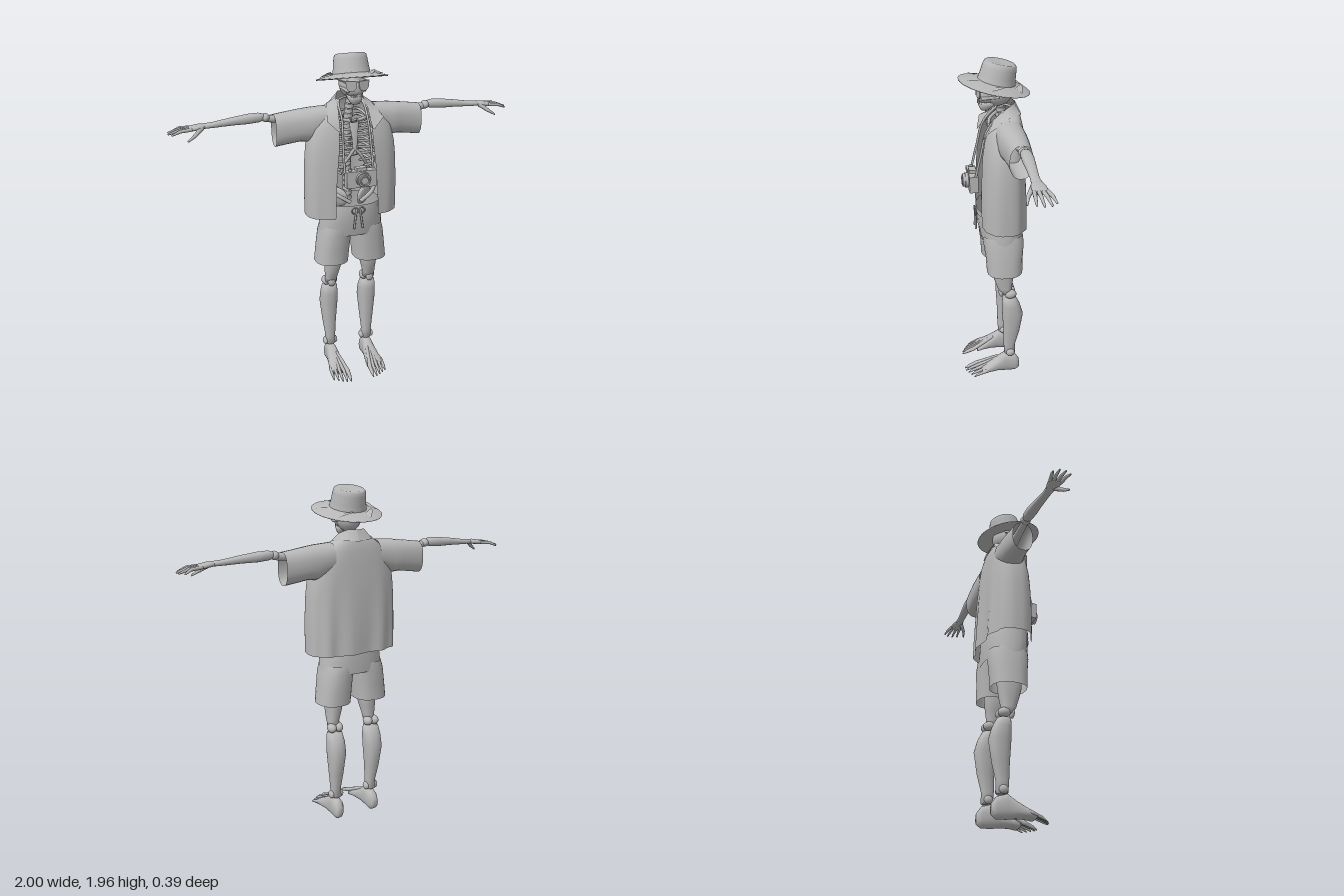
import * as THREE from 'three';

const grey = new THREE.MeshStandardMaterial({ color: 0xb8b8b8, side: THREE.DoubleSide });
grey.name = 'plain grey';
const V = (x, y, z) => new THREE.Vector3(x, y, z);

function add(parent, name, geometry, x = 0, y = 0, z = 0) {
  const mesh = new THREE.Mesh(geometry, grey);
  mesh.name = name;
  mesh.position.set(x, y, z);
  parent.add(mesh);
  return mesh;
}

// Skin over equal rows of points; closed joins each row into a ring
function skin(rows, closed) {
  const n = rows[0].length, index = [];
  for (let i = 0; i < rows.length - 1; i++) {
    for (let j = 0; j < (closed ? n : n - 1); j++) {
      const k = (j + 1) % n, a = i * n + j, b = i * n + k, c = a + n, d = b + n;
      index.push(a, b, d, a, d, c);
    }
  }
  const g = new THREE.BufferGeometry().setFromPoints(rows.flat());
  g.setIndex(index);
  g.computeVertexNormals();
  return g;
}

// Rounded sections [along, u0, u1, v0, v1] stacked on an axis: y uses x,z; x uses y,z; z uses x,y
function loft(axis, sections, capped = true, e = 0.85, n = 24) {
  const list = sections.slice();
  if (capped) {
    const flat = ([a, p, q, r, s]) => [a, (p + q) / 2, (p + q) / 2, (r + s) / 2, (r + s) / 2];
    list.unshift(flat(list[0]));
    list.push(flat(list[list.length - 1]));
  }
  const pw = v => Math.sign(v) * Math.abs(v) ** e;
  return skin(list.map(([a, u0, u1, v0, v1]) => Array.from({ length: n }, (_, j) => {
    const t = j / n * Math.PI * 2, s = pw(Math.sin(t)), c = pw(Math.cos(t));
    const mix = (lo, hi, k) => (lo + hi) / 2 + (hi - lo) / 2 * k;
    if (axis === 'y') return V(mix(u0, u1, s), a, mix(v0, v1, c));
    if (axis === 'x') return V(a, mix(u0, u1, c), mix(v0, v1, s));
    return V(mix(u0, u1, c), mix(v0, v1, s), a);
  })), true);
}

function ball(parent, name, x, y, z, rx, ry = rx, rz = rx) {
  const m = add(parent, name, new THREE.SphereGeometry(1, 20, 14), x, y, z);
  m.scale.set(rx, ry, rz);
  return m;
}

// Tapered bone with rounded ends
function bone(parent, name, a, b, ra, rb = ra) {
  const p = V(...a), q = V(...b), d = q.clone().sub(p);
  const m = add(parent, name, new THREE.CylinderGeometry(rb, ra, d.length(), 10));
  m.position.copy(p).add(q).multiplyScalar(0.5);
  m.quaternion.setFromUnitVectors(V(0, 1, 0), d.normalize());
  ball(parent, name + 'Start', ...a, ra);
  ball(parent, name + 'End', ...b, rb);
}

const tube = (pts, r) => new THREE.TubeGeometry(new THREE.CatmullRomCurve3(pts.map(p => V(...p))), 24, r, 7);

function buildHat(root) {
  const hat = new THREE.Group();
  hat.name = 'hat';
  hat.position.set(0, 1.832, 0);
  hat.rotation.x = -0.21;
  root.add(hat);
  const lathe = pts => new THREE.LatheGeometry(pts.map(p => new THREE.Vector2(...p)), 40);
  add(hat, 'brim', lathe([[0.08, 0], [0.14, -0.004], [0.196, -0.014], [0.198, -0.009], [0.14, 0.006], [0.09, 0.016]]));
  add(hat, 'crown', lathe([[0.102, 0.005], [0.1, 0.03], [0.093, 0.09], [0.088, 0.112], [0.078, 0.12], [0.045, 0.118], [0, 0.115]]), 0, 0, -0.008);
  add(hat, 'hatBand', new THREE.CylinderGeometry(0.1, 0.104, 0.025, 40, 1, true), 0, 0.026, -0.008);
  // Lifted scraps of torn straw on the brim
  for (let i = 0; i < 6; i++) {
    const a = i * 1.05 + 0.4, p = (r, t, y) => V(r * Math.sin(t), y, r * Math.cos(t));
    add(hat, 'brimTear', skin([[p(0.125, a, 0.012), p(0.18, a - 0.1, 0)], [p(0.135, a + 0.42, 0.026), p(0.15, a + 0.3, 0.022)]], false));
  }
}

function buildHead(root) {
  ball(root, 'skull', 0, 1.79, -0.015, 0.067, 0.08, 0.087);
  add(root, 'face', loft('y', [[1.74, -0.042, 0.042, 0, 0.088], [1.77, -0.055, 0.055, -0.02, 0.09], [1.82, -0.06, 0.06, -0.03, 0.088]]));
  add(root, 'jaw', loft('y', [[1.69, -0.024, 0.024, 0.03, 0.075], [1.71, -0.036, 0.036, 0.01, 0.086], [1.737, -0.044, 0.044, -0.02, 0.092]]));
  for (let i = -3; i <= 3; i++) add(root, 'tooth', new THREE.BoxGeometry(0.008, 0.018, 0.006), i * 0.0095, 1.739, 0.091 - i * i * 0.0018);
  const lens = new THREE.Shape();
  [[0.004, 1.818], [0.067, 1.822], [0.064, 1.785], [0.05, 1.766], [0.022, 1.766], [0.008, 1.782]].forEach(([x, y], i) => i ? lens.lineTo(x, y) : lens.moveTo(x, y));
  for (const s of [1, -1]) {
    const side = new THREE.Group();
    side.name = s > 0 ? 'leftGlasses' : 'rightGlasses';
    side.scale.x = s;
    root.add(side);
    const m = add(side, 'sunglassLens', new THREE.ExtrudeGeometry(lens, { depth: 0.007, bevelEnabled: false }), 0, 0, 0.096);
    m.rotation.y = 0.2;
    bone(side, 'glassesArm', [0.066, 1.813, 0.085], [0.07, 1.81, -0.04], 0.004);
    bone(side, 'cheekbone', [0.048, 1.765, 0.07], [0.063, 1.772, -0.01], 0.01, 0.007);
  }
}

function buildTorso(root) {
  // Spine
  for (let i = 0; i < 20; i++) {
    const y = 1.1 + i * 0.031, z = y > 1.55 ? -0.09 + (y - 1.55) * 0.4 : -0.09;
    add(root, 'vertebra', new THREE.CylinderGeometry(0.026, 0.026, 0.023, 12), 0, y, z);
    add(root, 'spineDisc', new THREE.CylinderGeometry(0.019, 0.019, 0.01, 10), 0, y + 0.0155, z);
    bone(root, 'spinousProcess', [0, y, z - 0.02], [0, y - 0.012, z - 0.036], 0.007, 0.004);
  }
  add(root, 'sternum', loft('y', [[1.4, -0.01, 0.01, 0.044, 0.056], [1.5, -0.018, 0.018, 0.04, 0.054], [1.58, -0.028, 0.028, 0.022, 0.038]]));
  for (const s of [1, -1]) {
    for (let i = 0; i < 9; i++) {
      const y = 1.605 - i * 0.034, w = 0.085 + 0.055 * Math.sin((i + 1) / 9 * 2.2);
      const end = Math.max(0.016, (i - 5) * 0.026), f = Math.min(0.05, 0.028 + i * 0.006);
      add(root, 'rib', tube([[s * 0.02, y + 0.02, -0.09], [s * w * 0.75, y + 0.015, -0.12], [s * w, y - 0.005, -0.05], [s * w * 0.85, y - 0.03, f - 0.02], [s * end, y - 0.026 - (i > 5 ? 0.01 : 0), f]], 0.0075));
    }
    add(root, 'costalArch', tube([[s * 0.008, 1.43, 0.05], [s * 0.045, 1.38, 0.052], [s * 0.09, 1.31, 0.03]], 0.009));
    add(root, 'collarbone', tube([[s * 0.02, 1.59, 0.03], [s * 0.1, 1.605, 0.01], [s * 0.19, 1.625, -0.06]], 0.01));
    const hip = ball(root, 'hipBone', s * 0.085, 1.13, -0.035, 0.075, 0.065, 0.022);
    hip.rotation.set(0.3, s * 0.75, s * -0.35);
    add(root, 'hipCrest', tube([[s * 0.03, 1.12, 0.06], [s * 0.1, 1.165, 0.045], [s * 0.14, 1.19, -0.03], [s * 0.06, 1.16, -0.1]], 0.012));
  }
}

function buildShirt(root) {
  // [y, half width, front z, back z, half opening]
  const rows = [[1.04, 0.27, 0.1, -0.17, 0.128], [1.15, 0.271, 0.1, -0.168, 0.124], [1.25, 0.27, 0.098, -0.165, 0.12],
    [1.36, 0.266, 0.092, -0.16, 0.11], [1.45, 0.258, 0.085, -0.156, 0.1], [1.55, 0.235, 0.07, -0.15, 0.095],
    [1.62, 0.19, 0.04, -0.145, 0.09], [1.665, 0.13, 0, -0.135, 0.08], [1.7, 0.075, -0.02, -0.12, 0.06]];
  const e = 0.75, n = 56, pw = v => Math.sign(v) * Math.abs(v) ** e;
  add(root, 'shirtBody', skin(rows.map(([y, w, f, b, gap]) => Array.from({ length: n + 1 }, (_, j) => {
    const t0 = Math.asin((gap / w) ** (1 / e)), t = t0 + (Math.PI - t0) * 2 * j / n;
    const fold = Math.max(0, 1.5 - y) * 0.022 * Math.sin(t * 11) * Math.sin(t / 2);
    return V(w * pw(Math.sin(t)), y, (f + b) / 2 + ((f - b) / 2 + fold) * pw(Math.cos(t)));
  })), false));
  for (const s of [1, -1]) {
    const side = new THREE.Group();
    side.name = s > 0 ? 'leftShirtSide' : 'rightShirtSide';
    side.scale.x = s;
    root.add(side);
    add(side, 'sleeve', loft('x', [[0.14, 1.51, 1.665, -0.138, 0.02], [0.24, 1.47, 1.66, -0.142, 0.015], [0.29, 1.475, 1.654, -0.14, 0.006],
      [0.36, 1.465, 1.645, -0.137, -0.005], [0.43, 1.455, 1.636, -0.132, -0.01]], false));
    const inner = [[0, 1.73, -0.112], [0.05, 1.733, -0.1], [0.078, 1.71, -0.05], [0.086, 1.65, 0.02], [0.094, 1.55, 0.078]];
    const outer = [[0, 1.67, -0.142], [0.085, 1.678, -0.132], [0.13, 1.675, -0.06], [0.165, 1.605, 0.062], [0.104, 1.545, 0.084]];
    add(side, 'collar', skin([outer, inner].map(r => r.map(p => V(...p))), false));
  }
}

function buildShorts(root) {
  add(root, 'shortsHips', loft('y', [[0.92, -0.192, 0.192, -0.155, 0.082], [1.0, -0.183, 0.183, -0.158, 0.098], [1.06, -0.172, 0.172, -0.156, 0.104], [1.11, -0.163, 0.163, -0.15, 0.104]], false));
  add(root, 'waistband', loft('y', [[1.085, -0.17, 0.17, -0.154, 0.108], [1.115, -0.166, 0.166, -0.152, 0.107]], false));
  for (const s of [1, -1]) {
    add(root, 'shortsLeg', loft('y', [[0.735, 0.02, 0.218, -0.145, 0.062], [0.83, 0.012, 0.207, -0.148, 0.068], [0.92, 0.003, 0.194, -0.155, 0.08], [0.97, -0.005, 0.18, -0.15, 0.08]], false)).scale.x = s;
    bone(root, 'drawstring', [s * 0.01, 1.095, 0.11], [s * 0.026, 0.98, 0.113], 0.006);
    add(root, 'drawstringLoop', new THREE.TorusGeometry(0.018, 0.004, 6, 16), s * 0.02, 1.085, 0.113);
  }
}

function buildLimbs(root, s) {
  const g = new THREE.Group();
  g.name = s > 0 ? 'leftLimbs' : 'rightLimbs';
  g.scale.x = s;
  root.add(g);
  // Arm
  bone(g, 'upperArm', [0.2, 1.595, -0.065], [0.46, 1.615, -0.072], 0.03, 0.02);
  ball(g, 'elbow', 0.475, 1.622, -0.072, 0.024, 0.024, 0.03);
  add(g, 'forearm', loft('x', [[0.475, 1.61, 1.64, -0.088, -0.055], [0.51, 1.6, 1.65, -0.102, -0.045], [0.57, 1.595, 1.648, -0.104, -0.042],
    [0.66, 1.595, 1.637, -0.096, -0.044], [0.76, 1.592, 1.622, -0.088, -0.044], [0.81, 1.592, 1.618, -0.09, -0.038]]));
  add(g, 'palm', loft('x', [[0.8, 1.593, 1.617, -0.088, -0.04], [0.84, 1.588, 1.617, -0.1, -0.03], [0.89, 1.583, 1.608, -0.106, -0.03]]));
  [[0.975, -0.122], [0.998, -0.096], [1.0, -0.062], [0.985, -0.03]].forEach(([x, z], i) => {
    const mid = [0.935, 1.594, (z - 0.1 + i * 0.022) / 2];
    bone(g, 'fingerBase', [0.88, 1.597, -0.098 + i * 0.02], mid, 0.01, 0.009);
    bone(g, 'fingerTip', mid, [x - 0.005, 1.577, z], 0.009, 0.005);
  });
  bone(g, 'thumbBase', [0.825, 1.598, -0.045], [0.865, 1.568, -0.015], 0.014, 0.01);
  bone(g, 'thumbTip', [0.865, 1.568, -0.015], [0.902, 1.545, -0.003], 0.01, 0.005);
  // Leg
  add(g, 'thigh', loft('y', [[0.585, 0.085, 0.155, -0.085, -0.025], [0.62, 0.085, 0.155, -0.085, 0], [0.68, 0.07, 0.158, -0.095, 0.02], [0.74, 0.058, 0.162, -0.102, 0.036], [0.95, 0.05, 0.17, -0.12, 0.05]]));
  for (const x of [0.1, 0.143]) ball(g, 'kneeKnuckle', x, 0.582, -0.075, 0.026, 0.028, 0.036);
  ball(g, 'kneecap', 0.122, 0.59, -0.022, 0.024, 0.03, 0.015);
  add(g, 'shin', loft('y', [[0.14, 0.088, 0.15, -0.112, -0.045], [0.2, 0.09, 0.15, -0.11, -0.04], [0.3, 0.082, 0.163, -0.135, -0.038],
    [0.43, 0.07, 0.176, -0.155, -0.03], [0.5, 0.07, 0.174, -0.135, -0.028], [0.55, 0.078, 0.168, -0.11, -0.032]]));
  for (const x of [0.09, 0.15]) ball(g, 'ankle', x, 0.155, -0.078, 0.016, 0.024, 0.026);
  add(g, 'foot', loft('z', [[-0.135, 0.1, 0.143, 0.02, 0.085], [-0.11, 0.085, 0.152, 0.002, 0.12], [-0.05, 0.085, 0.153, 0.004, 0.14],
    [0, 0.078, 0.16, 0.012, 0.105], [0.06, 0.068, 0.17, 0.014, 0.07], [0.1, 0.063, 0.175, 0.01, 0.048]]));
  [0.196, 0.192, 0.18, 0.165, 0.148].forEach((z, i) => {
    const x = 0.073 + i * 0.0235, r = i ? 0.01 : 0.013;
    bone(g, 'footBone', [0.1 + i * 0.01, 0.1 - i * 0.006, 0], [x, 0.04, z - 0.07], 0.009, r);
    bone(g, 'toe', [x, 0.04, z - 0.07], [x, 0.022, z - 0.025], r, r * 0.8);
    bone(g, 'toeTip', [x, 0.022, z - 0.025], [x, 0.008, z], r * 0.8, 0.004);
  });
}

function buildCamera(root) {
  add(root, 'cameraBody', new THREE.BoxGeometry(0.175, 0.095, 0.05), 0.006, 1.285, 0.128);
  add(root, 'cameraTop', new THREE.BoxGeometry(0.06, 0.018, 0.04), 0.006, 1.341, 0.128);
  for (const [r, z, d] of [[0.042, 0.16, 0.02], [0.036, 0.176, 0.016]]) {
    add(root, 'cameraLens', new THREE.CylinderGeometry(r, r, d, 28), 0.012, 1.285, z).rotation.x = Math.PI / 2;
  }
  add(root, 'lensRim', new THREE.TorusGeometry(0.024, 0.004, 8, 24), 0.012, 1.285, 0.184);
  add(root, 'shutterButton', new THREE.CylinderGeometry(0.011, 0.011, 0.012, 14), -0.055, 1.338, 0.128);
  for (const s of [1, -1]) add(root, 'cameraStrap', tube([[s * 0.085, 1.32, 0.12], [s * 0.082, 1.45, 0.09], [s * 0.075, 1.6, 0.05], [s * 0.066, 1.69, -0.04], [0, 1.7, -0.1]], 0.007));
}

export function createModel() {
  const root = new THREE.Group();
  root.name = 'skeletonTourist';
  buildHat(root);
  buildHead(root);
  buildTorso(root);
  buildShirt(root);
  buildShorts(root);
  buildCamera(root);
  for (const s of [1, -1]) buildLimbs(root, s);
  return root;
}
